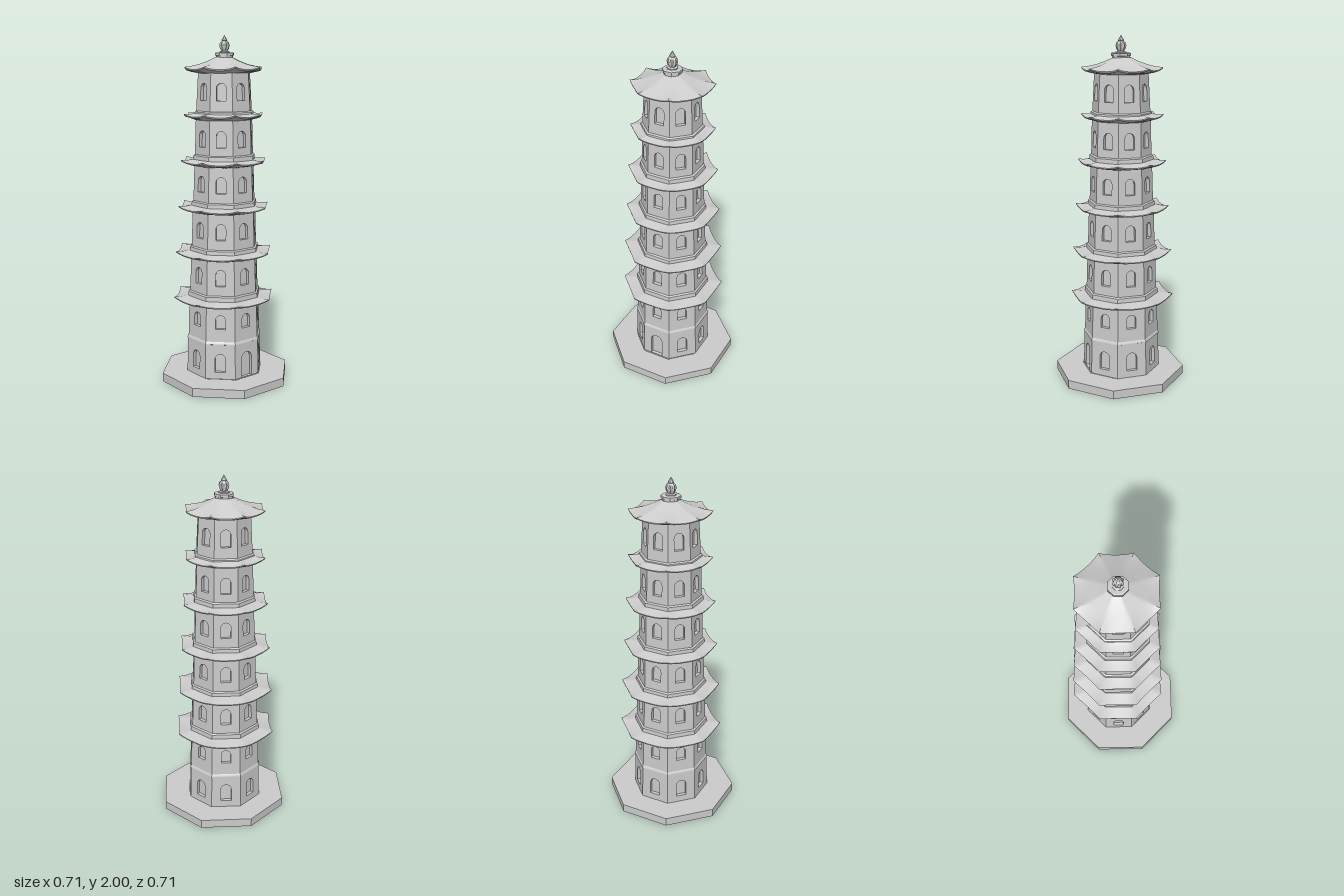
import * as THREE from 'three';
import { mergeGeometries, toCreasedNormals } from 'three/addons/utils/BufferGeometryUtils.js';

const TAN = Math.tan(Math.PI / 8);
const grey = new THREE.MeshStandardMaterial({ color: 0xcccccc });
const greyDouble = new THREE.MeshStandardMaterial({ color: 0xcccccc, side: THREE.DoubleSide });

function add(parent, name, geometry, material = grey) {
  const mesh = new THREE.Mesh(geometry, material);
  mesh.name = name;
  parent.add(mesh);
  return mesh;
}

// Octagonal loft through rings listed from bottom to top: { a: apothem, y, lift, bow }.
// lift raises the corners, bow pulls the middle of each side inward.
function octagonLoft(rings, steps = 1) {
  const n = 8 * steps, positions = [], index = [];
  for (const { a, y, lift = 0, bow = 0 } of rings) {
    for (let i = 0; i < n; i++) {
      const side = Math.floor(i / steps), t = (i % steps) / steps * 2 - 1;
      const angle = side * Math.PI / 4;
      const out = a - bow * (1 - t * t), across = a * TAN * t;
      positions.push(
        Math.sin(angle) * out + Math.cos(angle) * across,
        y + lift * Math.abs(t) ** 2.5,
        Math.cos(angle) * out - Math.sin(angle) * across);
    }
  }
  for (let r = 0; r + 1 < rings.length; r++) {
    for (let i = 0; i < n; i++) {
      const j = (i + 1) % n, p = r * n + i, q = r * n + j;
      index.push(p, q, q + n, p, q + n, p + n);
    }
  }
  const g = new THREE.BufferGeometry();
  g.setAttribute('position', new THREE.Float32BufferAttribute(positions, 3));
  g.setIndex(index);
  return toCreasedNormals(g, 0.5);
}

function octagonPoints(a) {
  return Array.from({ length: 8 }, (_, k) => {
    const t = (k + 0.5) * Math.PI / 4, r = a / Math.cos(Math.PI / 8);
    return new THREE.Vector2(r * Math.cos(t), r * Math.sin(t));
  });
}

// Outline of a round-headed opening
function archPoints(width, y0, y1) {
  const r = width / 2, pts = [new THREE.Vector2(-r, y0), new THREE.Vector2(r, y0)];
  for (let i = 0; i <= 10; i++) {
    const t = i / 10 * Math.PI;
    pts.push(new THREE.Vector2(r * Math.cos(t), y1 - r + r * Math.sin(t)));
  }
  return pts;
}

// One leaning wall face with a recessed arched niche
function wallFace({ y0, y1, a0, a1 }, opening) {
  const depth = 0.02;
  const arch = archPoints(...opening);
  const wall = new THREE.Shape([
    new THREE.Vector2(-a0 * TAN, y0), new THREE.Vector2(a0 * TAN, y0),
    new THREE.Vector2(a1 * TAN, y1), new THREE.Vector2(-a1 * TAN, y1)]);
  wall.holes.push(new THREE.Path(arch));
  const front = new THREE.ShapeGeometry(wall);
  const back = new THREE.ShapeGeometry(new THREE.Shape(arch)).translate(0, 0, -depth);
  // reveal around the opening
  const pos = [];
  arch.forEach((p, i) => {
    const q = arch[(i + 1) % arch.length];
    pos.push(p.x, p.y, 0, p.x, p.y, -depth, q.x, q.y, -depth,
      p.x, p.y, 0, q.x, q.y, -depth, q.x, q.y, 0);
  });
  const reveal = new THREE.BufferGeometry();
  reveal.setAttribute('position', new THREE.Float32BufferAttribute(pos, 3));
  const parts = [front.toNonIndexed(), back.toNonIndexed(), reveal].map(g => {
    g.deleteAttribute('uv');
    g.deleteAttribute('normal');
    return g;
  });
  const g = mergeGeometries(parts);
  const p = g.attributes.position;
  for (let i = 0; i < p.count; i++) {
    p.setZ(i, p.getZ(i) + THREE.MathUtils.lerp(a0, a1, (p.getY(i) - y0) / (y1 - y0)));
  }
  return toCreasedNormals(g, 0.5);
}

export function createModel() {
  const model = new THREE.Group();

  // Ground slab, open under the tower
  const slab = new THREE.Shape(octagonPoints(0.354));
  slab.holes.push(new THREE.Path(octagonPoints(0.205)));
  add(model, 'base', new THREE.ExtrudeGeometry(slab, { depth: 0.05, bevelEnabled: false }).rotateX(-Math.PI / 2));

  // Storeys: wall extents, wall apothems, window [width, sill, head]
  const storeys = [
    { y0: 0.05, y1: 0.255, a0: 0.21, a1: 0.205, window: [0.062, 0.09, 0.198] },
    { y0: 0.27, y1: 0.49, a0: 0.202, a1: 0.196, window: [0.056, 0.345, 0.427] },
    { y0: 0.54, y1: 0.76, a0: 0.191, a1: 0.184, window: [0.056, 0.595, 0.69] },
    { y0: 0.805, y1: 1.025, a0: 0.181, a1: 0.174, window: [0.056, 0.86, 0.952] },
    { y0: 1.07, y1: 1.29, a0: 0.17, a1: 0.163, window: [0.056, 1.125, 1.216] },
    { y0: 1.335, y1: 1.55, a0: 0.16, a1: 0.154, window: [0.054, 1.38, 1.472] },
    { y0: 1.58, y1: 1.81, a0: 0.152, a1: 0.14, window: [0.054, 1.64, 1.735] },
  ];
  const tower = new THREE.Group();
  tower.name = 'tower';
  tower.position.z = -0.01;
  model.add(tower);
  storeys.forEach((storey, s) => {
    const group = new THREE.Group();
    group.name = 'storey' + (s + 1);
    tower.add(group);
    const plain = wallFace(storey, storey.window);
    for (let k = 0; k < 8; k++) {
      const door = s === 0 && k === 0;
      const face = door ? wallFace(storey, [0.075, 0.052, 0.2]) : plain;
      add(group, door ? 'doorWall' : 'windowWall', face, greyDouble).rotation.y = k * Math.PI / 4;
    }
  });

  // Sloped ledge between the two lowest storeys
  add(tower, 'ledge', octagonLoft([
    { a: 0.205, y: 0.254 }, { a: 0.209, y: 0.256 }, { a: 0.208, y: 0.262 }, { a: 0.202, y: 0.271 }]), greyDouble);

  // Skirt roofs with upturned corners, each carrying the plinth of the next storey
  const eaves = [[0.492, 0.277], [0.762, 0.266], [1.026, 0.249], [1.29, 0.234], [1.55, 0.216]];
  eaves.forEach(([y, r], i) => {
    const below = storeys[i + 1], above = storeys[i + 2];
    add(tower, 'eave', octagonLoft([
      { a: below.a1 - 0.004, y: y - 0.022 },
      { a: r - 0.03, y: y - 0.014, lift: 0.008, bow: 0.002 },
      { a: r - 0.002, y: y - 0.007, lift: 0.014, bow: 0.005 },
      { a: r, y, lift: 0.014, bow: 0.005 },
      { a: r - 0.03, y: y + 0.006, lift: 0.006, bow: 0.002 },
      { a: above.a0 + 0.004, y: y + 0.018 },
    ], 8), greyDouble).position.z = -0.005;
    add(tower, 'plinth', octagonLoft([
      { a: above.a0 + 0.011, y: y + 0.008 },
      { a: above.a0 + 0.009, y: above.y0 - 0.006 },
      { a: above.a0 - 0.001, y: above.y0 + 0.001 }]), greyDouble);
  });

  // Crowning roof
  add(tower, 'topRoof', octagonLoft([
    { a: 0.136, y: 1.788 },
    { a: 0.185, y: 1.796, lift: 0.008, bow: 0.002 },
    { a: 0.21, y: 1.803, lift: 0.014, bow: 0.004 },
    { a: 0.212, y: 1.81, lift: 0.014, bow: 0.004 },
    { a: 0.175, y: 1.823, lift: 0.006, bow: 0.002 },
    { a: 0.13, y: 1.84 },
    { a: 0.085, y: 1.858 },
    { a: 0.045, y: 1.878 },
  ], 8), greyDouble).position.z = -0.004;

  // Finial: octagonal collar, ribbed bulb and pointed tip
  const finial = new THREE.Group();
  finial.name = 'finial';
  finial.position.z = -0.008;
  model.add(finial);
  add(finial, 'collar', octagonLoft([
    { a: 0.046, y: 1.865 }, { a: 0.046, y: 1.885 }, { a: 0.051, y: 1.887 },
    { a: 0.051, y: 1.9 }, { a: 0.047, y: 1.903 }, { a: 0, y: 1.903 }]));
  add(finial, 'bulb', octagonLoft([
    { a: 0.028, y: 1.902 }, { a: 0.028, y: 1.908 }, { a: 0.016, y: 1.912 },
    { a: 0.024, y: 1.925, bow: 0.003 }, { a: 0.028, y: 1.942, bow: 0.004 },
    { a: 0.024, y: 1.958, bow: 0.003 }, { a: 0.014, y: 1.967 },
    { a: 0.016, y: 1.971 }, { a: 0.01, y: 1.982 }, { a: 0, y: 2 }], 2));

  return model;
}
